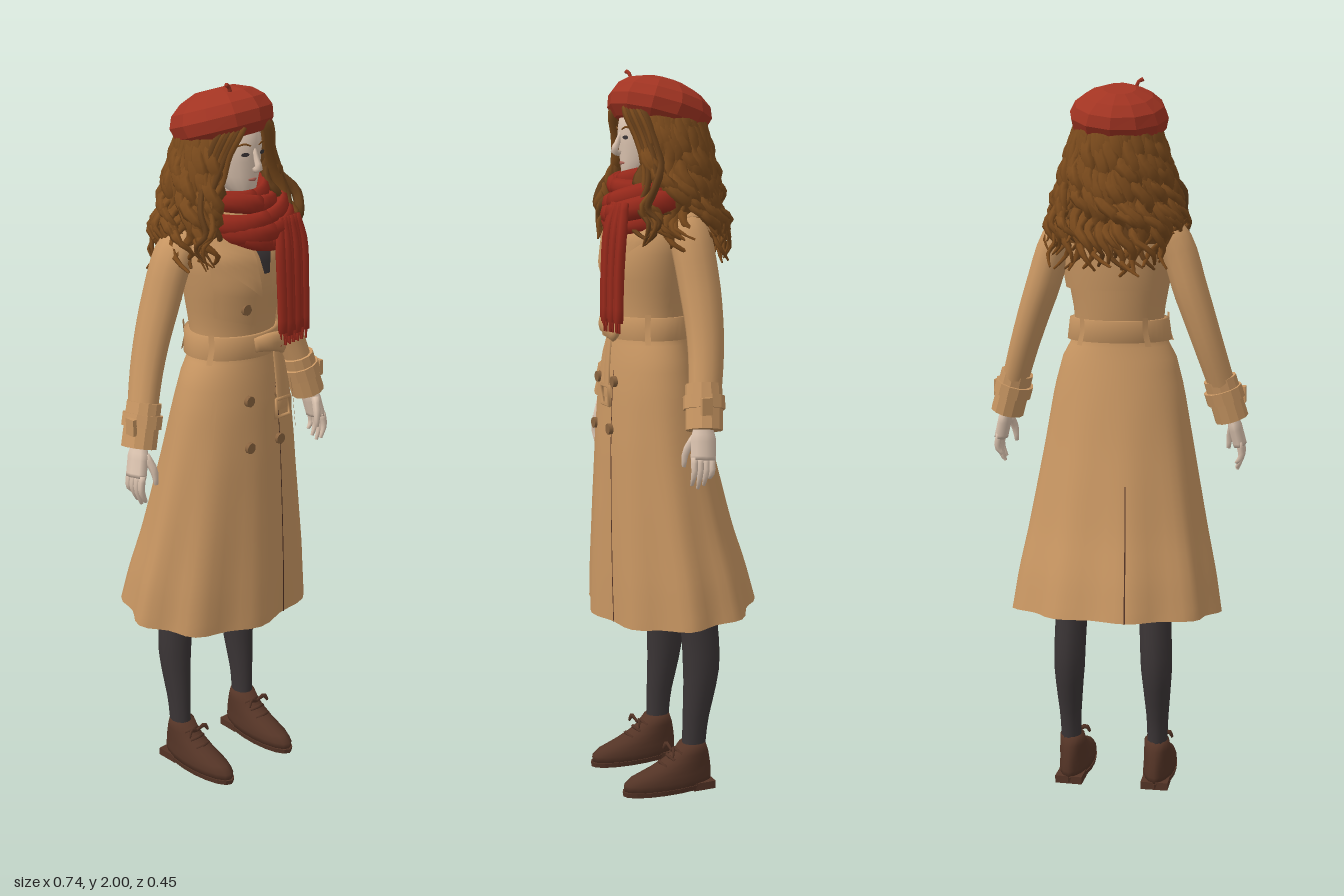
import * as THREE from 'three';

const V = (x, y, z) => new THREE.Vector3(x, y, z);
const mat = (name, color, side = THREE.FrontSide) => {
  const m = new THREE.MeshStandardMaterial({ color, side });
  m.name = name;
  return m;
};
const M = {
  coat: mat('tan coat', 0xc89662, THREE.DoubleSide),
  beret: mat('beret red', 0xa23422),
  scarf: mat('scarf red', 0x98291b),
  hair: mat('auburn hair', 0x7a4a1c),
  hairDark: mat('dark auburn', 0x68401a, THREE.DoubleSide),
  skin: mat('skin', 0xdcc4b0),
  tights: mat('charcoal', 0x3b3536, THREE.DoubleSide),
  shoe: mat('shoe brown', 0x543426, THREE.DoubleSide),
  trim: mat('horn buttons', 0x8a6440),
  lips: mat('lips', 0xb0685a),
};

let seed = 7;
const rand = () => (seed = (seed * 16807) % 2147483647) / 2147483647;
const clamp = THREE.MathUtils.clamp;
const lerp = THREE.MathUtils.lerp;

// Surface from fn(u, v): u runs round, v runs up
function grid(fn, nu, nv, closed = true) {
  const cols = closed ? nu : nu + 1, pos = [], idx = [];
  for (let j = 0; j <= nv; j++)
    for (let i = 0; i < cols; i++) pos.push(...fn(i / nu, j / nv).toArray());
  for (let j = 0; j < nv; j++)
    for (let i = 0; i < nu; i++) {
      const a = j * cols + i, b = j * cols + (i + 1) % cols;
      idx.push(a, b, b + cols, a, b + cols, a + cols);
    }
  const g = new THREE.BufferGeometry();
  g.setAttribute('position', new THREE.Float32BufferAttribute(pos, 3));
  g.setIndex(idx);
  g.computeVertexNormals();
  return g;
}
const flat = (g) => {
  const f = g.toNonIndexed();
  f.computeVertexNormals();
  return f;
};

// Interpolates rows of [y, half width, front z, back z]
function section(rows, y) {
  let i = 0;
  while (i < rows.length - 2 && y > rows[i + 1][0]) i++;
  const a = rows[i], b = rows[i + 1], t = clamp((y - a[0]) / (b[0] - a[0]), 0, 1);
  return a.map((v, k) => lerp(v, b[k], t));
}

// Closed body stacked from elliptical rows
function stack(rows, sides) {
  const n = rows.length + 1;
  return grid((u, v) => {
    const k = Math.round(v * n), r = rows[clamp(k - 1, 0, n - 2)], e = k === 0 || k === n ? 0 : 1;
    const a = u * Math.PI * 2, c = (r[2] + r[3]) / 2;
    return V(e * r[1] * Math.sin(a), r[0], c + e * (r[2] - r[3]) / 2 * Math.cos(a));
  }, sides, n);
}

// Oval tube along points; the width lies along the side vector
function sweep(pts, widths, ratio = 1, side = V(0, 0, 1), n = 12, m = 8, closed = false) {
  const curve = new THREE.CatmullRomCurve3(pts, closed);
  return grid((u, v) => {
    const k = Math.round(v * (n + 2)), t = clamp((k - 1) / n, 0, 1);
    const p = curve.getPoint(t), T = curve.getTangent(t);
    const N = side.clone().addScaledVector(T, -side.dot(T)).normalize();
    const B = T.clone().cross(N);
    const f = t * (widths.length - 1), i = Math.min(Math.floor(f), widths.length - 2);
    const r = k === 0 || k === n + 2 ? 0 : lerp(widths[i], widths[i + 1], f - i);
    const a = u * Math.PI * 2;
    return p.addScaledVector(N, r * Math.cos(a)).addScaledVector(B, r * ratio * Math.sin(a));
  }, m, n + 2);
}

// Coat shape, hem to neck
const COAT = [[.5, .292, .213, -.222], [.62, .277, .212, -.196], [.8, .245, .207, -.148], [1, .21, .2, -.1],
  [1.15, .184, .19, -.068], [1.24, .16, .178, -.048], [1.3, .125, .165, -.035], [1.36, .126, .165, -.045],
  [1.48, .148, .178, -.06], [1.56, .16, .165, -.065], [1.62, .145, .13, -.06], [1.655, .1, .105, -.045],
  [1.69, .06, .09, -.02]];
function coatPoint(a, y, off = 0) {
  const [, rx, zf, zb] = section(COAT, y);
  const fold = 1 + .045 * clamp((1.15 - y) / .65, 0, 1) * Math.cos(9 * a + 1);
  const rise = .04 * (1 - Math.cos(a)) / 2 * clamp((.75 - y) / .25, 0, 1);
  return V((rx * fold + off) * Math.sin(a), y + rise,
    (zf + zb) / 2 + ((zf - zb) / 2 * fold + off) * Math.cos(a));
}
const coatWrap = (a0, a1, y0, y1, off, nu = 16, nv = 6) =>
  grid((u, v) => coatPoint(lerp(a0, a1, u), lerp(y0, y1, v), off), nu, nv, false);
function frontZ(x, y) {
  const [, rx, zf, zb] = section(COAT, y);
  return (zf + zb) / 2 + (zf - zb) / 2 * Math.sqrt(1 - clamp(Math.abs(x) / rx, 0, .97) ** 2);
}
// Four-cornered panel laid over the coat front
const panel = (c, off) => grid((u, v) => {
  const x = lerp(lerp(c[0][0], c[1][0], u), lerp(c[3][0], c[2][0], u), v);
  const y = lerp(lerp(c[0][1], c[1][1], u), lerp(c[3][1], c[2][1], u), v);
  return V(x, y, frontZ(x, y) + off);
}, 8, 8, false);

export function createModel() {
  const root = new THREE.Group();
  root.name = 'womanInCoat';
  const group = (name) => {
    const g = new THREE.Group();
    g.name = name;
    root.add(g);
    return g;
  };
  const add = (parent, name, geo, material) => {
    const m = new THREE.Mesh(geo, material);
    m.name = name;
    parent.add(m);
    return m;
  };
  const PI2 = Math.PI * 2;

  // Coat body, yoke, lapels, seams
  const coat = group('coat');
  add(coat, 'coatBody', grid((u, v) => coatPoint(u * PI2, lerp(.5, 1.69, v)), 54, 34), M.coat);
  add(coat, 'backYoke', coatWrap(1.9, PI2 - 1.9, 1.43, 1.63, .012), M.coat);
  add(coat, 'stormFlap', panel([[-.12, 1.4], [-.02, 1.37], [-.02, 1.58], [-.14, 1.58]], .007), M.coat);
  add(coat, 'innerTop', panel([[.0, 1.51], [.02, 1.51], [.05, 1.63], [-.03, 1.63]], .009), M.tights);
  for (const s of [1, -1])
    add(coat, 'lapel', panel([[s * .015, 1.45], [s * .135, 1.55], [s * .12, 1.615], [s * .035, 1.62]], .016), M.coat);
  add(coat, 'frontSeam', coatWrap(.26, .275, .5, 1.2, .003, 1, 20), M.shoe);
  add(coat, 'backVent', coatWrap(3.35, 3.362, .5, .9, .003, 1, 14), M.shoe);
  for (const s of [1, -1])
    add(coat, 'pocketWelt', coatWrap(s * .85, s * .93, 1.02, 1.18, .007, 2, 4), M.coat);
  for (const [x, y] of [[-.052, 1.42], [-.055, 1.17], [.055, 1.17], [-.06, 1.04], [.05, 1.04]]) {
    const b = add(coat, 'button', new THREE.CylinderGeometry(.015, .015, .012, 10), M.trim);
    b.rotation.x = Math.PI / 2;
    b.position.set(x, y, frontZ(x, y) + .005);
  }

  // Belt with buckle, loops and hanging end
  const belt = group('belt');
  const beltOff = [0, .014, .014, 0];
  add(belt, 'beltBand', grid((u, v) => {
    const k = Math.round(v * 3);
    return coatPoint(u * PI2, [1.285, 1.285, 1.345, 1.345][k], beltOff[k]);
  }, 40, 3), M.coat);
  for (const a of [-1.1, 1.1, 2.5, 3.8])
    add(belt, 'beltLoop', coatWrap(a - .06, a + .06, 1.275, 1.355, .02, 2, 2), M.coat);
  add(belt, 'beltKnot', sweep([V(-.03, 1.32, .18), V(.005, 1.325, .196), V(.04, 1.32, .198), V(.07, 1.295, .184)], [.02, .026, .028, .02], .5, V(0, 1, 0)), M.coat);
  add(belt, 'beltEnd', sweep([V(.04, 1.31, .19), V(.045, 1.22, .2), V(.05, 1.13, .206)], [.016, .018, .02], .22, V(1, 0, 0), 8, 8), M.coat);
  const buckle = add(belt, 'buckle', new THREE.TorusGeometry(.036, .007, 4, 4, PI2), M.coat);
  buckle.geometry.rotateZ(Math.PI / 4);
  buckle.position.set(.05, 1.135, .208);

  for (const s of [1, -1]) {
    // Sleeve, cuff and strap
    const arm = group(s > 0 ? 'leftArm' : 'rightArm');
    const P = (x, y, z) => V(s * x, y, z);
    add(arm, 'sleeve', sweep([P(.1, 1.605, .01), P(.155, 1.57, .01), P(.211, 1.42, .002), P(.258, 1.28, .008), P(.308, 1.12, .035)],
      [.045, .06, .057, .05, .043], .84, V(0, 0, 1), 18, 12), M.coat);
    add(arm, 'cuff', flat(sweep([P(.288, 1.185, .028), P(.322, 1.07, .042)], [.049, .05], .95, V(0, 0, 1), 2, 12)), M.coat);
    add(arm, 'cuffStrap', flat(sweep([P(.296, 1.155, .031), P(.306, 1.122, .035)], [.056, .056], .97, V(0, 0, 1), 1, 12)), M.coat);
    add(arm, 'cuffBuckle', new THREE.BoxGeometry(.012, .045, .03), M.coat).position.set(s * .353, 1.138, .05);
    add(arm, 'epaulette', sweep([P(.07, 1.652, .03), P(.12, 1.645, .015), P(.175, 1.612, .01)], [.018, .02, .022], .3, V(0, 0, 1), 6, 6), M.coat);

    // Hand
    add(arm, 'palm', sweep([P(.318, 1.1, .043), P(.33, 1.05, .048), P(.344, .995, .055)], [.022, .036, .036], .55), M.skin);
    for (let i = 0; i < 4; i++) {
      const z = .03 + i * .017, d = [.025, .008, 0, .01][i];
      add(arm, 'finger', sweep([P(.344, 1.005, z), P(.35, .965, z + .002), P(.336, .92 + d, z + .003)], [.01, .0095, .005], 1, V(0, 0, 1), 5, 6), M.skin);
    }
    add(arm, 'thumb', sweep([P(.324, 1.055, .07), P(.312, 1.015, .09), P(.308, .975, .094)], [.012, .011, .006], 1, V(0, 0, 1), 5, 6), M.skin);

    // Leg
    const leg = group(s > 0 ? 'leftLeg' : 'rightLeg');
    add(leg, 'tights', sweep([P(.09, .98, .04), P(.105, .75, .0), P(.12, .52, -.035), P(.126, .36, -.045), P(.127, .2, -.027), P(.126, .09, -.02)],
      [.075, .062, .055, .054, .037, .033], .84, V(0, 0, 1), 18, 12), M.tights);

    // Lace-up shoe
    const shoe = new THREE.Group();
    shoe.name = 'shoe';
    shoe.position.x = s * .124;
    shoe.rotation.y = s * -.02;
    leg.add(shoe);
    add(shoe, 'upper', stack([[.012, .045, .188, -.076], [.035, .047, .19, -.077], [.053, .044, .168, -.076],
      [.07, .041, .12, -.074], [.09, .039, .075, -.07], [.108, .037, .045, -.066], [.135, .035, .02, -.056]], 18), M.shoe);
    add(shoe, 'sole', flat(stack([[.004, .046, .192, -.077], [.018, .048, .194, -.079]], 18)), M.shoe);
    add(shoe, 'heel', new THREE.BoxGeometry(.078, .022, .066), M.shoe).position.set(0, .011, -.042);
    for (let i = 0; i < 3; i++)
      add(shoe, 'lace', sweep([V(-.025, .08 + i * .016, .07 - i * .024), V(0, .09 + i * .016, .082 - i * .024), V(.025, .08 + i * .016, .07 - i * .024)],
        [.005, .005], 1, V(0, 1, 0), 5, 5), M.shoe);
    for (const d of [1, -1])
      add(shoe, 'bow', sweep([V(0, .118, .045), V(d * .025, .13, .05), V(d * .036, .112, .055)], [.005, .008, .004], .6, V(0, 1, 0), 5, 5), M.shoe);
  }

  // Head and face
  const head = group('head');
  add(head, 'face', stack([[1.707, .018, .125, .075], [1.728, .04, .135, .03], [1.76, .058, .138, -.02], [1.8, .068, .141, -.04],
    [1.84, .071, .144, -.045], [1.89, .065, .135, -.04], [1.93, .03, .08, 0]], 20), M.skin);
  add(head, 'neck', sweep([V(0, 1.6, .03), V(0, 1.76, .05)], [.042, .04]), M.skin);
  add(head, 'nose', sweep([V(0, 1.835, .138), V(0, 1.805, .149), V(0, 1.785, .157), V(0, 1.777, .142)], [.005, .008, .011, .008], 1, V(1, 0, 0), 6, 6), M.skin);
  for (const s of [1, -1]) {
    const eye = add(head, 'eye', new THREE.CircleGeometry(.012, 10), M.tights);
    eye.scale.y = .45;
    eye.position.set(s * .03, 1.82, .138);
    eye.rotation.y = s * .3;
    add(head, 'eyebrow', sweep([V(s * .014, 1.841, .142), V(s * .032, 1.847, .137), V(s * .048, 1.84, .122)], [.002, .003, .002], .6, V(0, 1, 0), 5, 5), M.hair);
  }
  add(head, 'mouth', sweep([V(-.016, 1.753, .132), V(0, 1.753, .14), V(.016, 1.753, .132)], [.002, .005, .002], .6, V(0, 1, 0), 6, 6), M.lips);

  // Hair: inner shell and wavy locks
  const hair = group('hair');
  const hairPoint = (a, y, k = 1) => {
    const f = Math.pow(clamp((1.91 - y) / .41, 0, 1), .65);
    return V(k * (.088 + .105 * f) * Math.sin(a), y, .022 + k * (.092 + .093 * f) * Math.cos(a));
  };
  add(hair, 'hairShell', grid((u, v) => hairPoint(lerp(1.1, PI2 - 1.1, u), lerp(1.56, 1.92, v), .86), 30, 8, false), M.hairDark);
  const LOCKS = 88;
  for (let i = 0; i < LOCKS; i++) {
    const a = lerp(.85, PI2 - .85, (i + rand() * .8) / LOCKS), inner = i % 3 === 0;
    const sideways = Math.abs(Math.sin(a)), curl = .5 + rand();
    const yEnd = 1.455 + rand() * .1 + .05 * sideways + .05 * Math.max(0, Math.cos(a)), phase = rand() * 6, pts = [];
    for (let k = 0; k <= 12; k++) {
      const t = k / 12, w = Math.min(1, t * 1.4) * curl;
      pts.push(hairPoint(a + .15 * w * Math.sin(k * 1.5 + phase), lerp(1.91, yEnd, t),
        (inner ? .86 : .96 + .07 * sideways * t) + .1 * w * Math.cos(k * 1.5 + phase)));
    }
    add(hair, 'lock', sweep(pts, [.016, .021, .02, .018, .014, .004], .6, V(Math.cos(a), 0, -Math.sin(a)), 26, 6), inner ? M.hairDark : M.hair);
  }
  for (const s of [1, -1])
    for (let i = 0; i < 6; i++) {
      const d = i * .007, r = () => (rand() - .5) * .03;
      add(hair, 'frontLock', sweep([V(s * .005, 1.925 + d / 3, .125), V(s * (.043 + d), 1.885, .14 - d), V(s * (.072 + d), 1.82, .122 - d),
        V(s * (.095 + d) + r(), 1.75, .115 - d), V(s * (.13 + d) + r(), 1.69, .11 + r()), V(s * (.125 + d) + r(), 1.635, .13 + r()),
        V(s * (.155 + d) + r(), 1.59 + r(), .12 + r()), V(s * (.14 + d) + r(), 1.55 + r(), .14)], [.012, .018, .016, .015, .014, .011, .003], .6, V(s * .6, .3, .7), 26, 6), i % 2 ? M.hairDark : M.hair);
    }

  // Beret with stem
  const beret = group('beret');
  beret.position.set(-.005, 1.888, .024);
  beret.rotation.set(-.28, 0, .07);
  add(beret, 'crown', flat(stack([[-.05, .085, .09, -.09], [-.045, .105, .118, -.108], [-.02, .13, .142, -.134], [.012, .136, .147, -.146],
    [.042, .122, .134, -.136], [.066, .092, .106, -.105], [.084, .045, .058, -.058]], 12)), M.beret);
  add(beret, 'stem', sweep([V(-.03, .062, .088), V(-.036, .08, .094), V(-.048, .086, .1)], [.006, .005, .006], 1, V(0, 0, 1), 4, 6), M.beret);

  // Scarf wraps, tails and fringe
  const scarf = group('scarf');
  const wrap = (x0, rx, zf, zb, yf, yb, w, lean) => {
    const pts = [];
    for (let k = 0; k < 14; k++) {
      const a = k / 14 * PI2, c = Math.cos(a);
      pts.push(V(x0 + rx * Math.sin(a), lerp(yb, yf, (c + 1) / 2) + lean * Math.sin(a), lerp(zb, zf, (c + 1) / 2)));
    }
    add(scarf, 'scarfWrap', sweep(pts, [w, w * 1.2, w * .9, w * 1.2, w], .65, V(0, 1, 0), 32, 8, true), M.scarf);
  };
  wrap(0, .085, .14, -.035, 1.705, 1.725, .024, .01);
  wrap(.005, .1, .158, -.045, 1.69, 1.7, .024, -.012);
  wrap(.018, .122, .172, -.055, 1.65, 1.685, .027, .02);
  wrap(.03, .125, .182, -.05, 1.62, 1.67, .027, .014);
  wrap(.018, .108, .18, -.04, 1.59, 1.66, .022, -.014);
  for (let i = 0; i < 6; i++) {
    const x = .044 + i * .0175, z = .2 + (i % 2) * .006 - i * .002, yEnd = 1.345 - (i % 2) * .008;
    add(scarf, 'scarfTail', sweep([V(x * .7 + .025, 1.65, .178), V(x, 1.58, z - .005), V(x, 1.46, z + .004), V(x + .002, yEnd, z + .008)],
      [.014, .016, .016, .015], .8, V(1, 0, 0), 10, 6), M.scarf);
    for (const d of [-.006, .006])
      add(scarf, 'fringe', sweep([V(x + d, yEnd + .01, z + .008), V(x + d * 1.3, 1.31, z + .008)], [.005, .003], 1, V(1, 0, 0), 2, 5), M.scarf);
  }
  return root;
}
